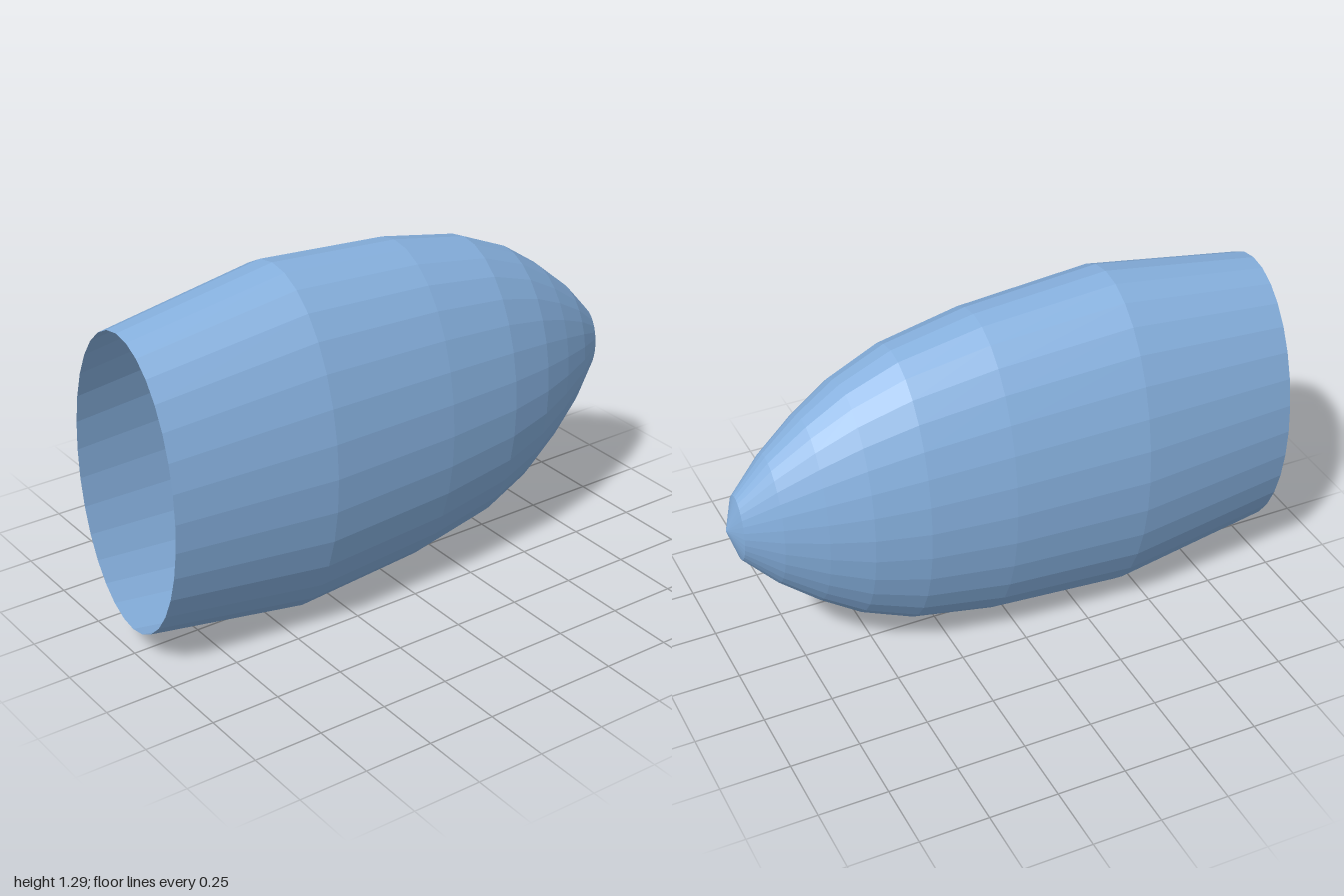
import * as THREE from 'three';

export function createModel() {
  const group = new THREE.Group();
  const blue = new THREE.MeshStandardMaterial({ color: 0x86b0de, flatShading: true, side: THREE.DoubleSide });
  blue.name = 'softBlue';

  // Half-height of the shell along its length, from the closed tip to the open rim
  const profile = [
    [0, -1], [0.128, -0.96], [0.256, -0.845], [0.37, -0.71], [0.466, -0.57],
    [0.547, -0.385], [0.607, -0.085], [0.645, 0.41], [0.548, 1],
  ].map(([r, z]) => new THREE.Vector2(r, z));

  // Open hollow shell, narrowed sideways into an oval and laid along z
  const geometry = new THREE.LatheGeometry(profile, 32);
  geometry.scale(0.578, 1, 1);
  geometry.rotateX(Math.PI / 2);
  geometry.translate(0, 0.648, 0);

  const shell = new THREE.Mesh(geometry, blue);
  shell.name = 'noseShell';
  group.add(shell);
  return group;
}
